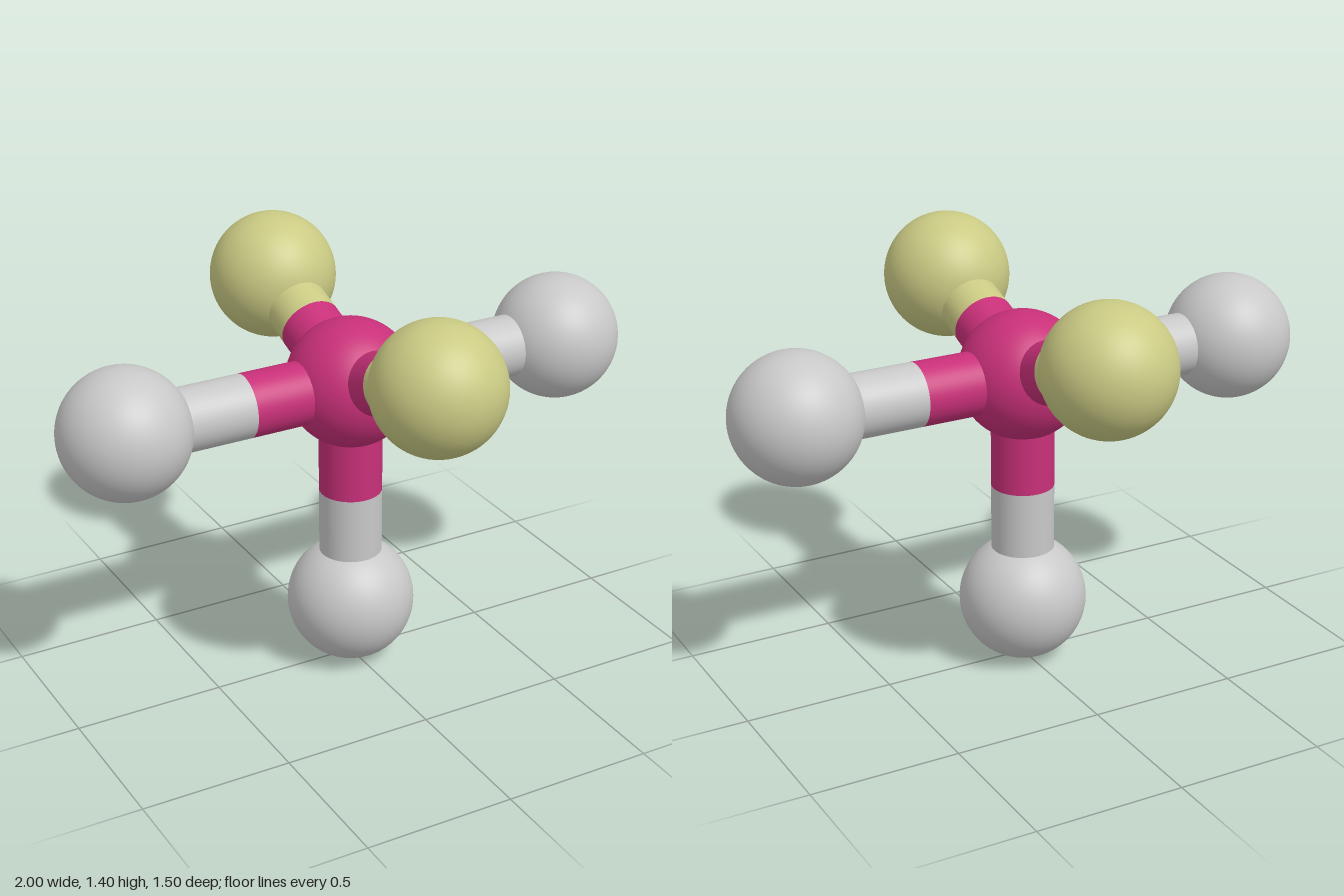
import * as THREE from 'three';

const BALL = 0.212, ROD = 0.104;

function material(name, color) {
  const m = new THREE.MeshStandardMaterial({ color });
  m.name = name;
  return m;
}

export function createModel() {
  const model = new THREE.Group();
  model.name = 'ballAndStickModel';
  const magenta = material('magenta', 0xc83079);
  const grey = material('light grey', 0xc8c8c8);
  const yellow = material('pale yellow', 0xcaca84);

  const centre = new THREE.Vector3(0, 1.002, 0);
  const ballShape = new THREE.SphereGeometry(BALL, 64, 40);

  function ball(name, position, mat) {
    const mesh = new THREE.Mesh(ballShape, mat);
    mesh.name = name;
    mesh.position.copy(position);
    return mesh;
  }

  // Open rod between two points; its ends are buried or meet the next rod
  function rod(name, from, to, mat) {
    const dir = to.clone().sub(from);
    const mesh = new THREE.Mesh(new THREE.CylinderGeometry(ROD, ROD, dir.length(), 48, 1, true), mat);
    mesh.name = name;
    mesh.position.copy(from).add(to).multiplyScalar(0.5);
    mesh.quaternion.setFromUnitVectors(new THREE.Vector3(0, 1, 0), dir.normalize());
    return mesh;
  }

  model.add(ball('centreBall', centre, magenta));

  // Outer balls: name, position, colour, where the rod changes colour
  const arms = [
    ['left', [0.788, 1.002, 0], grey, 0.382],
    ['right', [-0.788, 1.002, 0], grey, 0.382],
    ['bottom', [0, BALL, 0], grey, 0.383],
    ['front', [0, 1.19, 0.536], yellow, 0.284],
    ['back', [0, 1.19, -0.536], yellow, 0.284],
  ];
  for (const [name, xyz, mat, split] of arms) {
    const end = new THREE.Vector3(...xyz);
    const mid = end.clone().sub(centre).setLength(split).add(centre);
    const arm = new THREE.Group();
    arm.name = name + 'Arm';
    arm.add(
      rod(name + 'InnerRod', centre, mid, magenta),
      rod(name + 'OuterRod', mid, end, mat),
      ball(name + 'Ball', end, mat),
    );
    model.add(arm);
  }
  return model;
}
